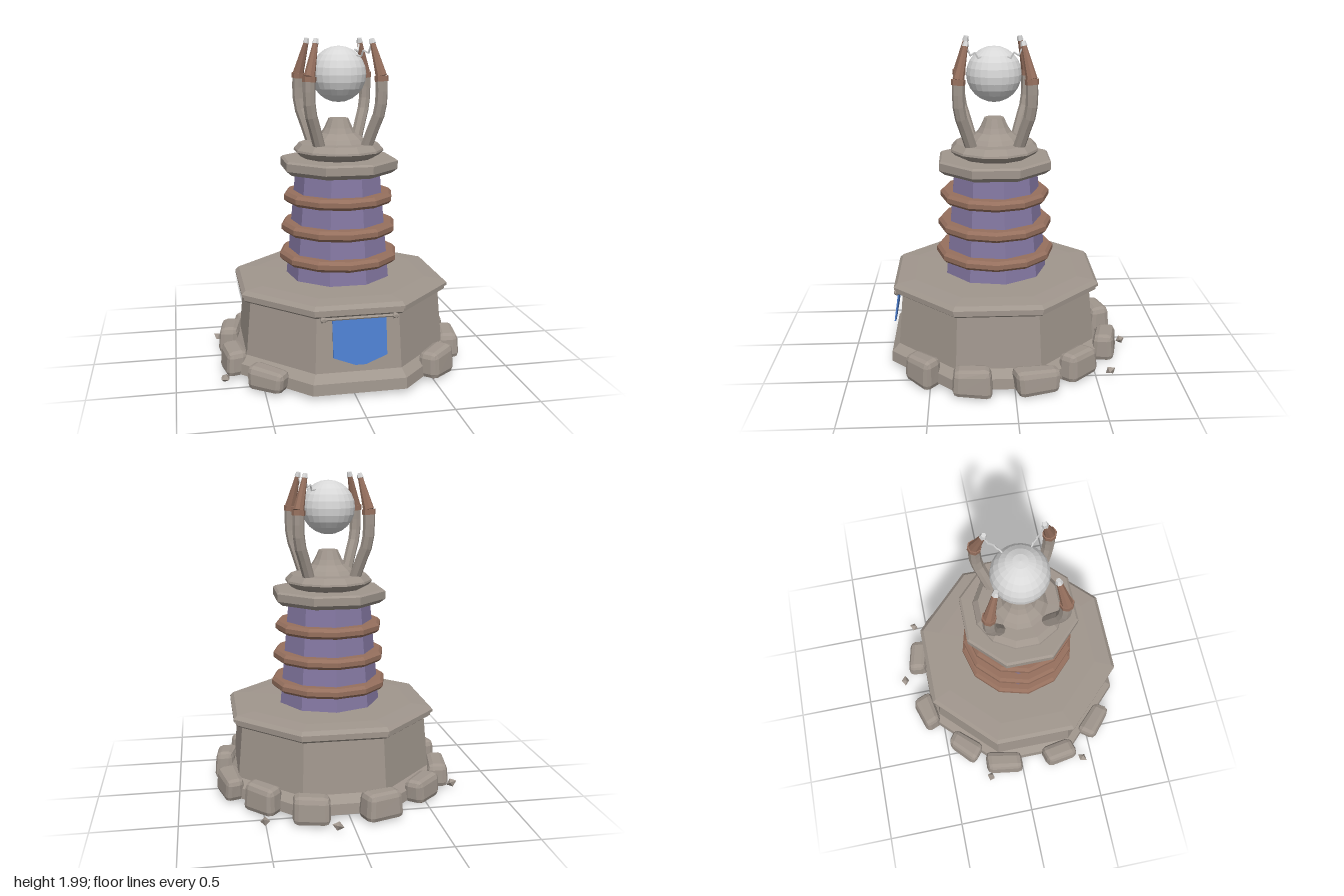
import * as THREE from 'three';
import { RoundedBoxGeometry } from 'three/addons/geometries/RoundedBoxGeometry.js';

const mat = (name, color) => new THREE.MeshStandardMaterial({ name, color, flatShading: true, side: THREE.DoubleSide });

export function createModel() {
  const stone = mat('stone', 0xa0968d);
  const purple = mat('purple wall', 0x8478a2);
  const copper = mat('copper', 0x96705e);
  const pale = mat('pale metal', 0xd8d8d8);
  const blue = mat('blue cloth', 0x4c7dcd);

  const model = new THREE.Group();
  const tower = new THREE.Group();
  tower.name = 'tower';
  tower.position.set(0.025, 0, 0.095);
  model.add(tower);

  const add = (name, geometry, material, parent = tower) => {
    const mesh = new THREE.Mesh(geometry, material);
    mesh.name = name;
    parent.add(mesh);
    return mesh;
  };
  const lathe = (name, pts, sides, start, material) =>
    add(name, new THREE.LatheGeometry(pts.map(p => new THREE.Vector2(...p)), sides, start), material);
  // Octagons are given by the distance from centre to flat side
  const octagon = (name, pts, material) =>
    lathe(name, pts.map(([r, y]) => [r / Math.cos(Math.PI / 8), y]), 8, Math.PI / 8, material);
  const rod = (name, a, b, r0, r1, sides, material, parent = tower) => {
    const from = new THREE.Vector3(...a), dir = new THREE.Vector3(...b).sub(from);
    const mesh = add(name, new THREE.CylinderGeometry(r1, r0, dir.length(), sides), material, parent);
    mesh.position.copy(from).addScaledVector(dir, 0.5);
    mesh.quaternion.setFromUnitVectors(new THREE.Vector3(0, 1, 0), dir.normalize());
    return mesh;
  };

  // Hollow flared base with its moulded top slab
  octagon('baseWall', [[0.655, 0.04], [0.65, 0.105], [0.605, 0.15], [0.575, 0.49]], stone);
  octagon('baseSlab', [[0, 0.475], [0.595, 0.475], [0.615, 0.49], [0.615, 0.508], [0.627, 0.512],
    [0.627, 0.528], [0.605, 0.55], [0.5, 0.558], [0, 0.56]], stone);

  // Nine-sided shaft with three bands
  lathe('shaft', [[0.325, 0.55], [0.263, 1.215]], 9, Math.PI / 9, purple);
  [[0.685, 0.368], [0.865, 0.355], [1.05, 0.338]].forEach(([y, r]) =>
    lathe('shaftBand', [[r - 0.095, y - 0.032], [r - 0.018, y - 0.032], [r, y - 0.014], [r, y + 0.014],
      [r - 0.018, y + 0.032], [r - 0.095, y + 0.032]], 12, 0, copper));

  // Cap, collar disc and nozzle
  octagon('cap', [[0, 1.2], [0.305, 1.2], [0.338, 1.228], [0.338, 1.275], [0.325, 1.286], [0, 1.288]], stone);
  lathe('collarDisc', [[0.2, 1.28], [0.25, 1.306], [0.275, 1.33], [0.272, 1.342], [0.24, 1.377], [0, 1.385]], 12, Math.PI / 12, stone);
  lathe('nozzle', [[0.185, 1.365], [0.15, 1.405], [0.105, 1.438], [0.085, 1.47], [0.06, 1.525], [0, 1.525]], 12, Math.PI / 12, stone);

  const orb = add('orb', new THREE.SphereGeometry(0.167, 24, 12), pale);
  orb.position.set(0, 1.788, 0);

  // Four curved prongs around the orb
  for (const sx of [-1, 1]) for (const sz of [-1, 1]) {
    const prong = new THREE.Group();
    prong.name = 'prong';
    tower.add(prong);
    const at = (d, y) => new THREE.Vector3(sx * d, y, sz * d);
    const path = new THREE.CatmullRomCurve3([at(0.14, 1.36), at(0.175, 1.48), at(0.205, 1.58), at(0.213, 1.67), at(0.212, 1.77)]);
    add('prongArm', new THREE.TubeGeometry(path, 6, 0.036, 8), stone, prong);
    const p = (d, y) => at(d, y).toArray();
    rod('prongCollar', p(0.213, 1.755), p(0.211, 1.787), 0.041, 0.041, 8, copper, prong);
    rod('prongSpike', p(0.211, 1.785), p(0.167, 1.975), 0.034, 0.015, 8, copper, prong);
    rod('prongTip', p(0.168, 1.97), p(0.163, 1.998), 0.021, 0.014, 6, pale, prong);
  }

  // Jagged sparks from the two left prongs to the orb
  for (const sz of [-1, 1]) {
    const pts = [[0.165, 1.975, 0.165], [0.15, 1.915, 0.14], [0.125, 1.93, 0.115], [0.118, 1.895, 0.095], [0.085, 1.9, 0.075]]
      .map(([x, y, z]) => [x, y, z * sz]);
    for (let i = 0; i < 4; i++) rod('spark', pts[i], pts[i + 1], 0.006, 0.006, 4, pale);
  }

  // Hanging banner on its rod
  const cloth = new THREE.Shape([[-0.155, 0], [0.155, 0], [0.155, -0.215], [0.03, -0.262], [-0.03, -0.262], [-0.155, -0.215]]
    .map(p => new THREE.Vector2(...p)));
  const banner = add('banner', new THREE.ExtrudeGeometry(cloth, { depth: 0.008, bevelEnabled: false }), blue);
  banner.position.set(0, 0.465, 0.602);
  banner.rotation.x = -0.15;
  rod('bannerRod', [-0.2, 0.472, 0.61], [0.2, 0.472, 0.61], 0.009, 0.009, 6, stone);
  for (const s of [-1, 1])
    add('bannerKnob', new THREE.IcosahedronGeometry(0.02, 0), stone).position.set(s * 0.207, 0.472, 0.615);

  // Rough boulders around the foot: x, z, length, height, yaw
  const rocks = [
    [-0.18, -0.59, 0.23, 0.17, 0.25], [0.235, -0.59, 0.22, 0.17, -0.25],
    [-0.48, -0.37, 0.23, 0.15, 0.8], [0.5, -0.385, 0.23, 0.17, -0.8],
    [-0.645, -0.125, 0.25, 0.16, 1.4], [0.675, -0.125, 0.26, 0.15, -1.4],
    [-0.65, 0.27, 0.22, 0.16, -1.4], [0.69, 0.25, 0.23, 0.17, 1.4],
    [-0.475, 0.56, 0.24, 0.13, -0.75], [0.53, 0.545, 0.22, 0.17, 0.75],
  ];
  const sides = [stone, stone, stone, copper, stone, stone];
  rocks.forEach(([x, z, length, height, yaw], n) => {
    const g = new RoundedBoxGeometry(length, height, 0.13, 1, 0.035);
    const p = g.attributes.position;
    for (let i = 0; i < p.count; i++) {
      const X = p.getX(i), Y = p.getY(i), Z = p.getZ(i);
      p.setXYZ(i, X * (1 - 0.8 * Y * Math.sin(n * 2 + 1)) + 0.12 * Z,
        Y * (1 + 0.9 * X * Math.sin(n * 3)), Z * (1 - 1.2 * Y + X * Math.cos(n * 5)));
    }
    const rock = add('boulder', g, sides, model);
    rock.position.set(x, 0.02 + height / 2, z);
    rock.rotation.y = yaw;
  });

  // Scattered chips
  [[0.1, -0.72], [0.505, -0.59], [-0.72, -0.235], [-0.715, 0.43]].forEach(([x, z], n) => {
    const chip = add('chip', new THREE.OctahedronGeometry(0.036), stone, model);
    chip.scale.set(1, 0.75, 0.8);
    chip.rotation.set(0.4, n * 1.3, 0.3);
    chip.position.set(x, 0.05, z);
  });
  return model;
}
